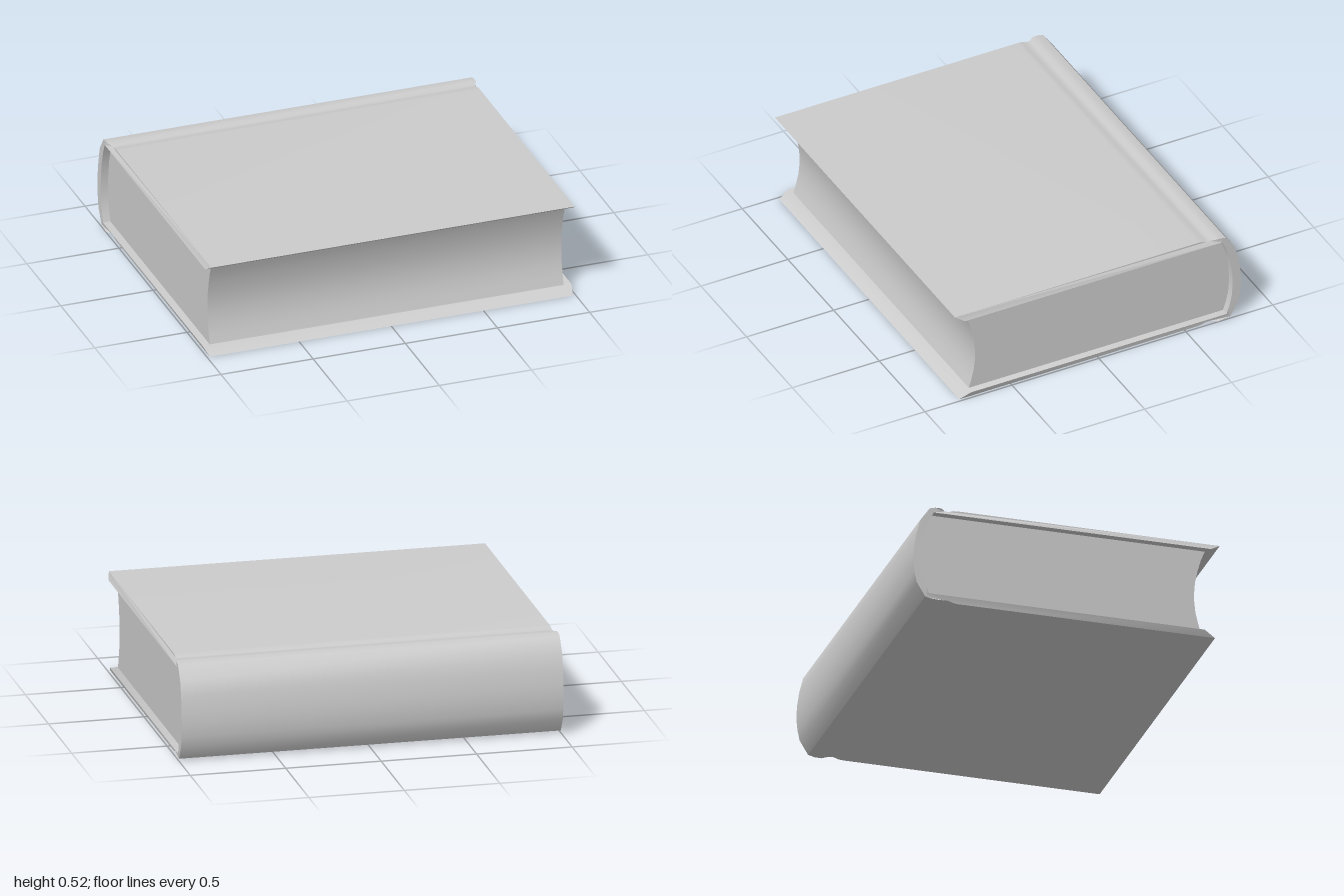
import * as THREE from 'three';
import { toCreasedNormals } from 'three/addons/utils/BufferGeometryUtils.js';

// Side outlines as [z, y] points, swept along x
const hinge = -0.66;
const pageBack = [
  [-0.71, 0.492], [-0.735, 0.435], [-0.754, 0.37], [-0.766, 0.29],
  [-0.77, 0.22], [-0.764, 0.14], [-0.75, 0.08], [-0.735, 0.035],
];
const pageFront = [
  [0.727, 0.035], [0.712, 0.085], [0.698, 0.145], [0.692, 0.2], [0.691, 0.25],
  [0.696, 0.31], [0.709, 0.375], [0.727, 0.44], [0.748, 0.492],
];
// Outside of the case, from the top fore edge round the spine to the bottom fore edge
const coverOuter = [
  [0.82, 0.523], [-0.575, 0.523], [-0.6, 0.521], [-0.625, 0.513], [-0.645, 0.513],
  [-0.67, 0.52], [-0.7, 0.52], [-0.73, 0.514],
  [-0.782, 0.44], [-0.803, 0.355], [-0.814, 0.28], [-0.818, 0.21], [-0.812, 0.145],
  [-0.8, 0.088], [-0.755, 0.014],
  [-0.72, 0.006], [-0.685, 0.005], [-0.645, 0.013], [-0.625, 0.013], [-0.6, 0.005],
  [-0.575, 0.002], [0.795, 0.002],
];

function sweep(points, halfWidth, crease) {
  const shape = new THREE.Shape(points.map(([z, y]) => new THREE.Vector2(z, y)));
  const geo = new THREE.ExtrudeGeometry(shape, { depth: halfWidth * 2, bevelEnabled: false });
  geo.translate(0, 0, -halfWidth);
  geo.rotateY(-Math.PI / 2);
  // Chamfer the ends: the outer faces of both boards are slightly narrower
  const p = geo.attributes.position;
  for (let i = 0; i < p.count; i++) {
    const outer = p.getY(i) > 0.5 || p.getY(i) < 0.025;
    if (outer && p.getZ(i) > hinge) p.setX(i, p.getX(i) * 0.985);
  }
  return toCreasedNormals(geo, crease);
}

export function createModel() {
  const book = new THREE.Group();
  book.name = 'book';
  const material = new THREE.MeshStandardMaterial({ color: 0xcccccc });

  // Boards, hinges and rounded spine in one wrap
  const cover = new THREE.Mesh(
    sweep([...coverOuter, [0.735, 0.035], ...pageBack.slice().reverse(), [0.77, 0.492]], 1, 0.6),
    material,
  );
  cover.name = 'cover';

  // Page block with hollow fore edge and rounded back
  const pages = new THREE.Mesh(sweep([...pageBack, ...pageFront], 0.96, 0.6), material);
  pages.name = 'pageBlock';

  book.add(cover, pages);
  return book;
}
